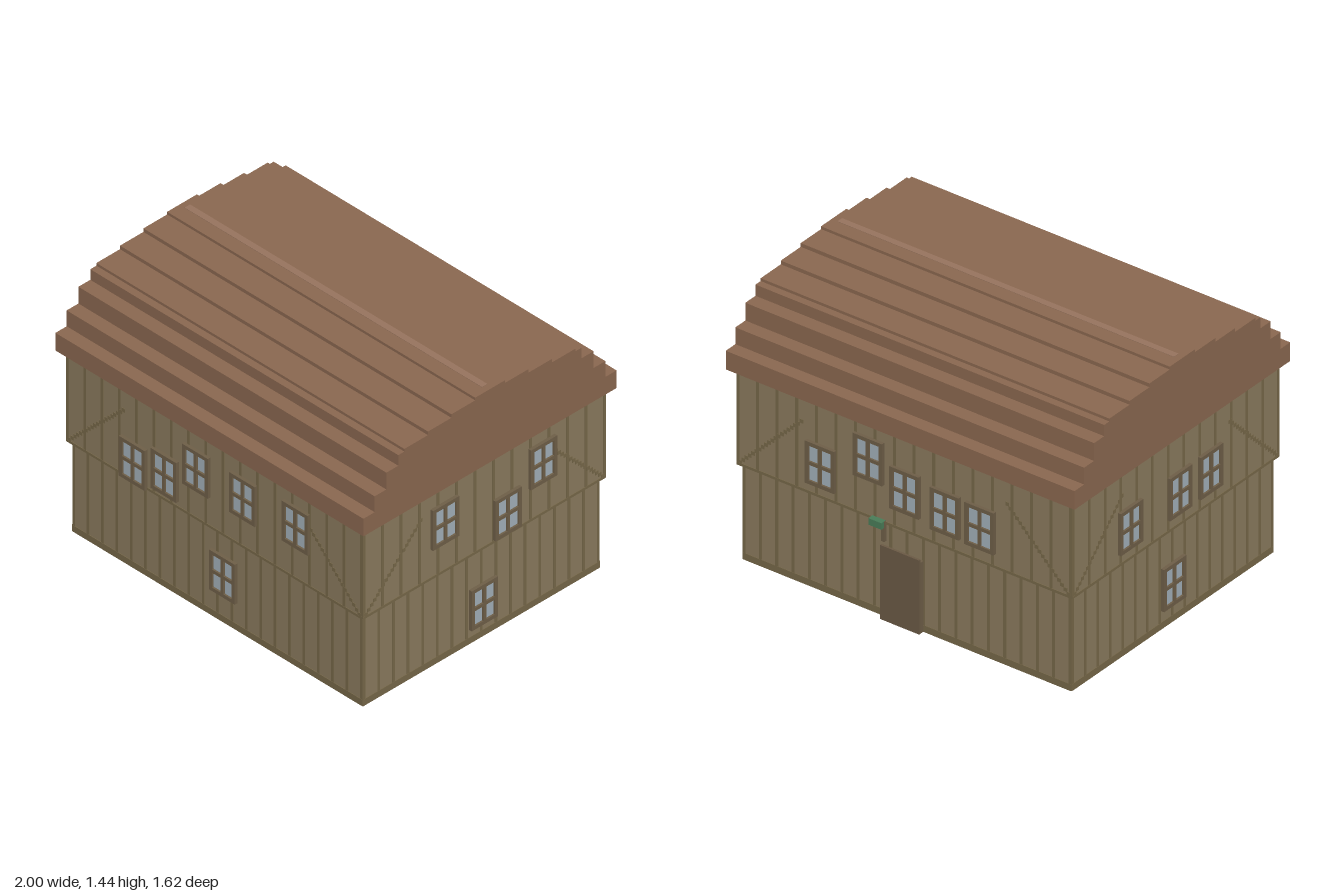
import * as THREE from 'three';

const paint = (color) => new THREE.MeshStandardMaterial({ color });

export function createModel() {
  const house = new THREE.Group();
  house.name = 'house';
  const wall = paint(0x8b7b5e), timber = paint(0x776849), frameMat = paint(0x6f5f48);
  const glass = paint(0xa3b1ba), roofMat = paint(0x8b6850), ridgeMat = paint(0x97745e);
  const doorMat = paint(0x6b5a45), green = paint(0x4a7d58);

  const box = (parent, name, mat, w, h, d, x, y, z) => {
    const m = new THREE.Mesh(new THREE.BoxGeometry(w, h, d), mat);
    m.name = name;
    m.position.set(x, y, z);
    parent.add(m);
    return m;
  };

  // Storeys: the upper one juts out over the lower
  box(house, 'lowerStorey', wall, 1.884, 0.51, 1.514, 0, 0.255, 0);
  box(house, 'upperStorey', wall, 1.924, 0.51, 1.554, 0, 0.765, 0);

  // Stepped barrel roof: [half depth, top height] of each course
  const courses = [[0.81, 1.12], [0.738, 1.21], [0.663, 1.305], [0.587, 1.365],
    [0.548, 1.38], [0.397, 1.40], [0.247, 1.42], [0.095, 1.435]];
  const right = [];
  let below = 1.02;
  for (const [z, top] of courses) {
    right.push(new THREE.Vector2(z, below), new THREE.Vector2(z, top));
    below = top;
  }
  const left = right.map((p) => new THREE.Vector2(-p.x, p.y)).reverse();
  const roofGeo = new THREE.ExtrudeGeometry(new THREE.Shape([...right, ...left]), { depth: 2, bevelEnabled: false });
  roofGeo.translate(0, 0, -1).rotateY(Math.PI / 2);
  const roof = new THREE.Mesh(roofGeo, roofMat);
  roof.name = 'roof';
  house.add(roof);
  box(house, 'ridgeBoard', ridgeMat, 1.93, 0.002, 0.035, 0, 1.436, 0);

  // Window frame with four openings
  const W = 0.168, H = 0.226;
  const rect = (Type, x0, y0, x1, y1) => {
    const s = new Type();
    s.moveTo(x0, y0).lineTo(x1, y0).lineTo(x1, y1).lineTo(x0, y1).closePath();
    return s;
  };
  const frameShape = rect(THREE.Shape, -W / 2, -H / 2, W / 2, H / 2);
  for (const sx of [-1, 1]) {
    for (const sy of [-1, 1]) {
      const xs = [sx * 0.009, sx * 0.064].sort((a, b) => a - b);
      const ys = [sy * 0.009, sy * 0.093].sort((a, b) => a - b);
      frameShape.holes.push(rect(THREE.Path, xs[0], ys[0], xs[1], ys[1]));
    }
  }
  const frameGeo = new THREE.ExtrudeGeometry(frameShape, { depth: 0.018, bevelEnabled: false });

  const addWindow = (side, u, y, dist) => {
    const g = new THREE.Group();
    g.name = 'window';
    g.position.set(u, y, dist);
    const f = new THREE.Mesh(frameGeo, frameMat);
    f.name = 'windowFrame';
    g.add(f);
    box(g, 'windowGlass', glass, 0.13, 0.19, 0.008, 0, 0, 0.004);
    side.add(g);
  };

  // Each side: turn, half widths and distances per storey, windows as [u, y]
  const sides = [
    { name: 'front', turn: 0, half: [0.942, 0.962], dist: [0.757, 0.777],
      windows: [[-0.52, 0.625], [-0.315, 0.665], [-0.11, 0.797], [0.195, 0.797], [0.537, 0.815], [0.045, 0.268]] },
    { name: 'rightHand', turn: Math.PI / 2, half: [0.757, 0.777], dist: [0.942, 0.962],
      windows: [[-0.26, 0.797], [0.14, 0.643], [0.367, 0.815], [0.007, 0.192]] },
    { name: 'back', turn: Math.PI, half: [0.942, 0.962], dist: [0.757, 0.777],
      windows: [[-0.475, 0.685], [-0.2, 0.83], [0.01, 0.73], [0.24, 0.705], [0.44, 0.70]] },
    { name: 'leftHand', turn: -Math.PI / 2, half: [0.757, 0.777], dist: [0.942, 0.962],
      windows: [[-0.35, 0.69], [0.02, 0.695], [0.25, 0.695], [0, 0.21]] },
  ];

  for (const s of sides) {
    const side = new THREE.Group();
    side.name = s.name + 'Side';
    side.rotation.y = s.turn;
    house.add(side);

    // Vertical battens, sill and top rails
    [0, 1].forEach((level) => {
      const half = s.half[level], dist = s.dist[level];
      const count = Math.round((2 * half) / (level ? 0.116 : 0.095));
      for (let i = 0; i <= count; i++) {
        const u = -half + 0.008 + ((2 * half - 0.016) * i) / count;
        box(side, 'batten', timber, 0.016, 0.508, 0.004, u, 0.255 + level * 0.51, dist);
      }
    });
    box(side, 'sillRail', timber, 2 * s.half[0], 0.036, 0.006, 0, 0.018, s.dist[0]);
    box(side, 'floorRail', timber, 2 * s.half[1], 0.014, 0.006, 0, 0.518, s.dist[1]);
    box(side, 'topRail', timber, 2 * s.half[1], 0.02, 0.006, 0, 1.01, s.dist[1]);

    // Diagonal braces of small stepped blocks
    for (const m of [-1, 1]) {
      for (let i = 0; i < 20; i++) {
        const u = m * (s.half[1] - 0.02 - i * 0.0185);
        box(side, 'brace', timber, 0.02, 0.02, 0.005, u, 0.53 + i * 0.0185, s.dist[1]);
      }
    }

    for (const [u, y] of s.windows) addWindow(side, u, y, s.dist[y > 0.5 ? 1 : 0]);
  }

  // Back door, with a hanging bracket and green lamp
  box(house, 'doorFrame', frameMat, 0.225, 0.38, 0.03, 0.018, 0.19, -0.767);
  box(house, 'door', doorMat, 0.225, 0.397, 0.012, 0.018, 0.1985, -0.785);
  box(house, 'lampPost', frameMat, 0.018, 0.11, 0.016, 0.115, 0.475, -0.782);
  box(house, 'lamp', green, 0.075, 0.035, 0.034, 0.145, 0.513, -0.793);

  return house;
}
